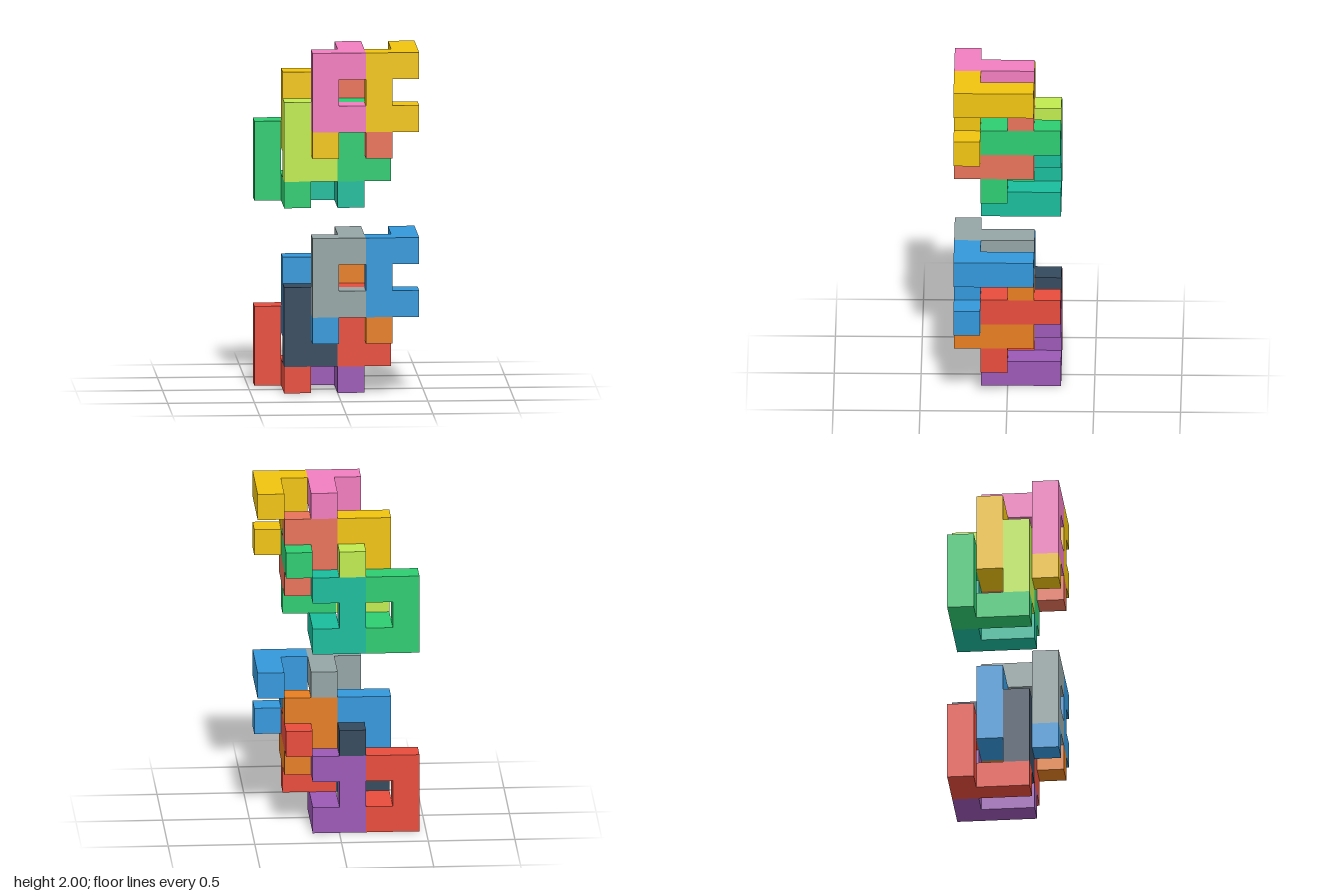
import * as THREE from 'three';
import { mergeGeometries } from 'three/addons/utils/BufferGeometryUtils.js';

const U = 2 / 13; // edge of one cube cell

// One puzzle piece: a C-shaped plate, two cells wide and three high, open to +x,
// with a two-cell arm reaching forward from its lower tip.
function pieceGeometry() {
  const outline = [[-1, -1.5], [1, -1.5], [1, -0.5], [0, -0.5], [0, 0.5], [1, 0.5], [1, 1.5], [-1, 1.5]];
  const shape = new THREE.Shape(outline.map(([x, y]) => new THREE.Vector2(x * U, y * U)));
  const plate = new THREE.ExtrudeGeometry(shape, { depth: U, bevelEnabled: false });
  plate.translate(0, 0, -U / 2);
  const arm = new THREE.BoxGeometry(U, U, 2 * U).toNonIndexed();
  arm.translate(0.5 * U, -U, 1.5 * U);
  return mergeGeometries([plate, arm]);
}

// Four layers from back to front; each holds two pieces side by side.
// x, y: lowest cell of the left piece; turned: arm at the top, reaching back
const LAYERS = [
  { name: 'back', x: 0, y: 0, turned: false },
  { name: 'midBack', x: 1, y: 2, turned: false },
  { name: 'midFront', x: 1, y: 1, turned: true },
  { name: 'front', x: 2, y: 3, turned: true },
];

// Colours per layer: [piece toward -x, piece toward +x]
const LOWER = [[0xe74c3c, 0x9b59b6], [0x3498db, 0xe67e22], [0x34495e, 0xe74c3c], [0x95a5a6, 0x3498db]];
const UPPER = [[0x2ecc71, 0x1abc9c], [0xf1c40f, 0xe8735a], [0xc0eb50, 0x2ecc71], [0xf27dbf, 0xf1c40f]];

function knot(name, geometry, colors) {
  const group = new THREE.Group();
  group.name = name;
  LAYERS.forEach((layer, k) => {
    colors[k].forEach((color, side) => {
      const piece = new THREE.Mesh(geometry, new THREE.MeshStandardMaterial({ color, flatShading: true }));
      piece.name = layer.name + (side ? 'LeftPiece' : 'RightPiece');
      piece.position.set((layer.x + 2 * side - 2) * U, (layer.y + 1.5) * U, (k - 1.5) * U);
      if (layer.turned) piece.rotation.x = Math.PI;
      group.add(piece);
    });
  });
  return group;
}

export function createModel() {
  const model = new THREE.Group();
  model.name = 'interlockingPuzzles';
  const geometry = pieceGeometry();
  const lower = knot('lowerPuzzle', geometry, LOWER);
  const upper = knot('upperPuzzle', geometry, UPPER);
  upper.position.y = 7 * U;
  model.add(lower, upper);
  return model;
}
